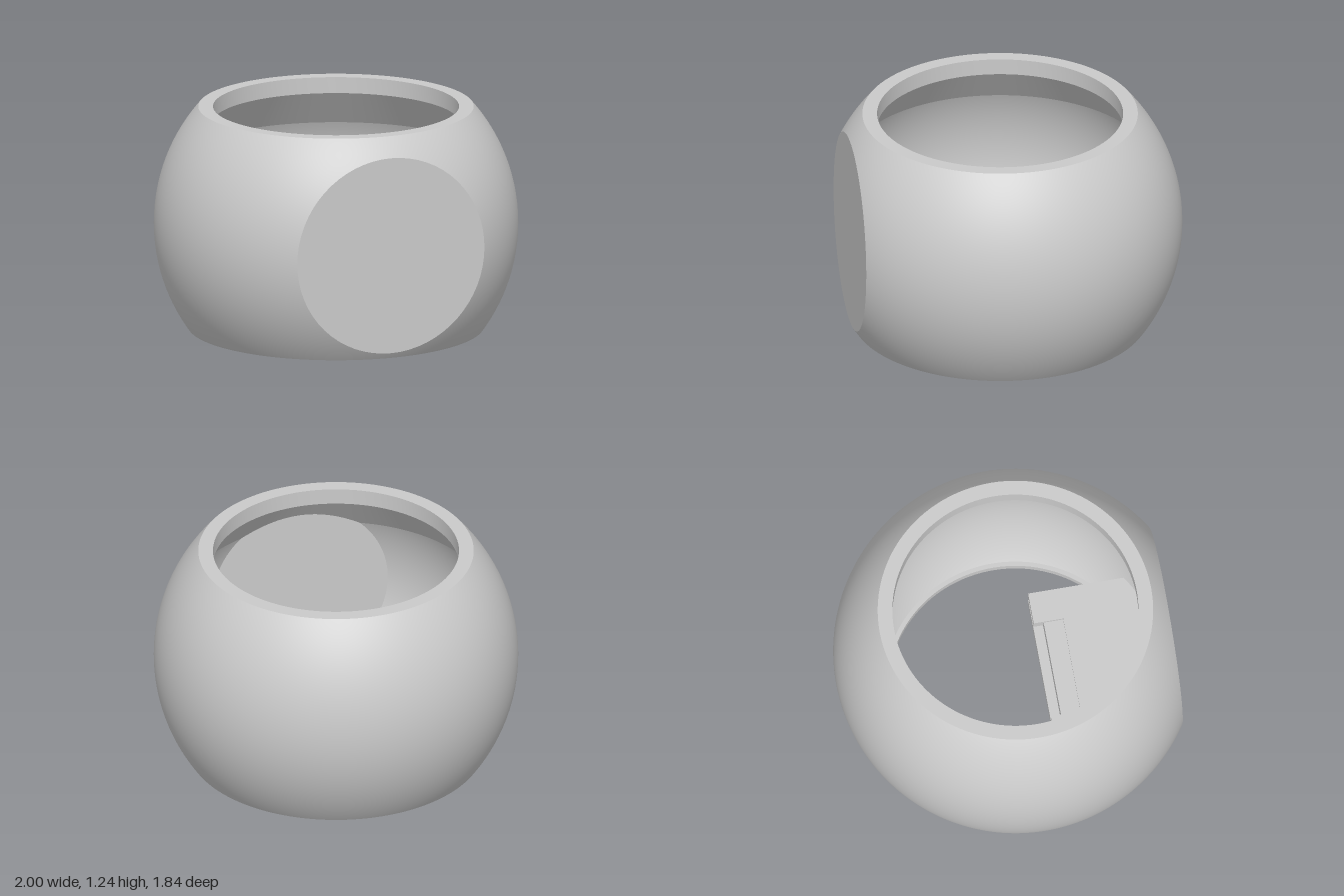
import * as THREE from 'three';
import { toCreasedNormals } from 'three/addons/utils/BufferGeometryUtils.js';

const COLS = 128, ROWS = 32;

// Heights within one band, packed towards both ends
function bandHeights(lo, hi) {
  return Array.from({ length: ROWS + 1 }, (_, i) =>
    lo + (hi - lo) * (1 - Math.cos(Math.PI * i / ROWS)) / 2);
}

// Round wall of radius ring(y), cut by the plane z = flat; bands meet at the breaks
function cutWall(ring, flat, breaks, inward) {
  const pos = [], nor = [], idx = [];
  for (let k = 1; k < breaks.length; k++) {
    const lo = breaks[k - 1], hi = breaks[k];
    bandHeights(lo, hi).forEach((y, row) => {
      const r = ring(y), e = 0.0005;
      const yc = Math.min(hi - e, Math.max(lo + e, y));
      const slope = (ring(yc + e) - ring(yc - e)) / (2 * e);
      const a = r > flat ? Math.acos(flat / r) : 0;
      for (let c = 0; c <= COLS; c++) {
        const t = a + (2 * Math.PI - 2 * a) * c / COLS;
        const n = new THREE.Vector3(Math.sin(t), -slope, Math.cos(t));
        n.normalize().multiplyScalar(inward ? -1 : 1);
        const v = pos.length / 3;
        pos.push(r * Math.sin(t), y, r * Math.cos(t));
        nor.push(n.x, n.y, n.z);
        if (row && c) {
          const left = v - 1, below = v - COLS - 1, corner = below - 1;
          if (inward) idx.push(corner, v, below, corner, left, v);
          else idx.push(corner, below, v, corner, v, left);
        }
      }
    });
  }
  const g = new THREE.BufferGeometry();
  g.setAttribute('position', new THREE.Float32BufferAttribute(pos, 3));
  g.setAttribute('normal', new THREE.Float32BufferAttribute(nor, 3));
  g.setIndex(idx);
  return g;
}

// Flat face that closes the cut
function cutFace(ring, flat, breaks) {
  const edge = [];
  for (let k = 1; k < breaks.length; k++) {
    for (const y of bandHeights(breaks[k - 1], breaks[k]).slice(k > 1 ? 1 : 0)) {
      edge.push(new THREE.Vector2(Math.sqrt(Math.max(0, ring(y) ** 2 - flat * flat)), y));
    }
  }
  const mirrored = edge.slice(1, -1).reverse().map(p => new THREE.Vector2(-p.x, p.y));
  return new THREE.ShapeGeometry(new THREE.Shape([...edge, ...mirrored]));
}

// Slab with a curved front edge and an optional notch in its back edge
function slab(back, reach, bottom, top, notch) {
  const w = 0.452, s = new THREE.Shape();
  s.moveTo(-w, back);
  if (notch) {
    s.lineTo(-0.275, back);
    s.lineTo(-0.275, notch);
    s.lineTo(0.275, notch);
    s.lineTo(0.275, back);
  }
  s.lineTo(w, back);
  for (let i = 0; i <= 16; i++) {
    const x = w - 2 * w * i / 16;
    s.lineTo(x, Math.min(0.78, Math.sqrt(reach * reach - x * x)));
  }
  const g = new THREE.ExtrudeGeometry(s, { depth: top - bottom, bevelEnabled: false });
  return g.rotateX(Math.PI / 2).translate(0, top, 0);
}

export function createModel() {
  const model = new THREE.Group();
  model.name = 'roundShell';
  const grey = new THREE.MeshStandardMaterial({ color: 0xcacaca });
  grey.name = 'grey';

  // All parts are placed relative to the sphere centre
  const body = new THREE.Group();
  body.name = 'body';
  body.position.set(0, 0.582, 0.083);
  model.add(body);
  const add = (name, geometry) => {
    const m = new THREE.Mesh(geometry, grey);
    m.name = name;
    body.add(m);
    return m;
  };

  // Outer wall with its flat front
  const outer = y => Math.sqrt(1 - y * y);
  const outerFlat = 0.835, outerCut = Math.sqrt(1 - outerFlat ** 2);
  add('outerWall', cutWall(outer, outerFlat, [-0.582, -outerCut, outerCut, 0.655], false));
  add('frontFlat', cutFace(outer, outerFlat, [-outerCut, outerCut])).position.z = outerFlat;

  // Inner wall: a sphere that narrows as a cone towards the top opening
  const coneStart = 0.365, coneEnd = 0.565, hole = 0.675;
  const coneSlope = (Math.sqrt(0.81 - coneStart ** 2) - hole) / (coneEnd - coneStart);
  const inner = y => y < coneStart ? Math.sqrt(0.81 - y * y) : hole + (coneEnd - y) * coneSlope;
  const innerFlat = 0.75, cutLow = -Math.sqrt(0.81 - innerFlat ** 2);
  const cutHigh = coneEnd - (innerFlat - hole) / coneSlope;
  add('innerWall', cutWall(inner, innerFlat, [-0.541, cutLow, coneStart, cutHigh, coneEnd], true));
  const innerFace = add('innerFlat', cutFace(inner, innerFlat, [cutLow, coneStart, cutHigh]));
  innerFace.position.z = innerFlat;
  innerFace.rotation.y = Math.PI;

  // Rims of the top and bottom openings
  const rim = (name, pts) => add(name, toCreasedNormals(
    new THREE.LatheGeometry(pts.map(p => new THREE.Vector2(...p)), 128), 0.6));
  rim('topRim', [[outer(0.655), 0.655], [hole, 0.655], [hole, coneEnd]]);
  rim('bottomRim', [[inner(-0.541), -0.541], [0.694, -0.541], [0.694, -0.582], [outer(0.582), -0.582]]);

  // Mounting shelf: base, recessed middle and notched top
  add('shelfBase', slab(0.151, 0.78, -0.55, -0.482));
  add('shelfMiddle', slab(0.206, 0.82, -0.482, -0.428));
  add('shelfTop', slab(0.151, 0.84, -0.428, -0.374, 0.315));
  add('notchStep', new THREE.BoxGeometry(0.55, 0.04, 0.11)).position.set(0, -0.408, 0.261);

  return model;
}
